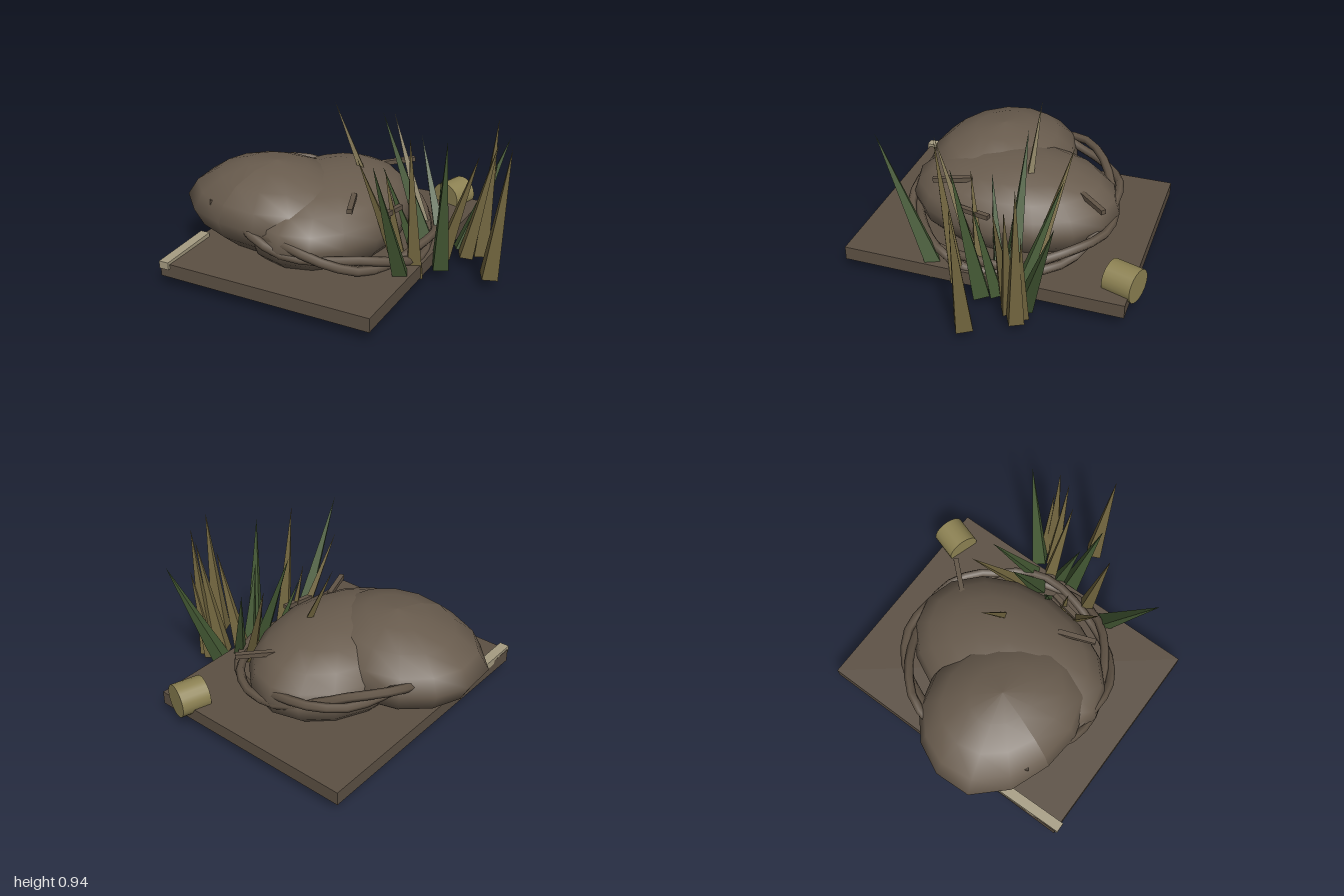
import * as THREE from 'three';

const mat = (name, color, flatShading = false) => {
  const m = new THREE.MeshStandardMaterial({ color, flatShading });
  m.name = name;
  return m;
};

export function createModel() {
  const rock = mat('rock brown', 0x695c4e);
  const earth = mat('earth brown', 0x5c5043);
  const root = mat('root brown', 0x615446);
  const green = mat('grass green', 0x435833, true);
  const dry = mat('dry grass', 0x72663f, true);
  const wood = mat('cut wood', 0x8d8253);
  const pale = mat('pale wood', 0xa69c82);

  const model = new THREE.Group();
  const add = (name, geo, material, x = 0, y = 0, z = 0, ry = 0) => {
    const mesh = new THREE.Mesh(geo, material);
    mesh.name = name;
    mesh.position.set(x, y, z);
    mesh.rotation.y = ry;
    model.add(mesh);
    return mesh;
  };
  const TURN = 0.306;

  // ground slab
  add('slab', new THREE.BoxGeometry(1.657, 0.083, 1.319), earth, 0.005, 0.107, -0.08, TURN);

  // low main boulder
  const main = new THREE.SphereGeometry(1, 16, 10);
  main.scale(0.64, 0.283, 0.46);
  add('mainBoulder', main, rock, 0, 0.285, -0.08, TURN);

  // upper boulder, swollen towards its back left corner
  const upper = new THREE.SphereGeometry(1, 14, 8);
  const p = upper.attributes.position;
  for (let i = 0; i < p.count; i++) {
    const d = Math.max(0, -0.68 * p.getX(i) - 0.73 * p.getZ(i));
    const k = 1 + 0.14 * d ** 6;
    p.setXYZ(i, p.getX(i) * k, p.getY(i), p.getZ(i) * k);
  }
  upper.scale(0.44, 0.265, 0.53);
  upper.computeVertexNormals();
  add('upperBoulder', upper, rock, -0.24, 0.35, -0.29);

  // two twisted roots circling the boulders, rising to the back
  for (let k = 0; k < 2; k++) {
    const pts = [];
    for (let i = 0; i < 18; i++) {
      const a = (i / 18) * Math.PI * 2;
      const twist = a * 4 + k * Math.PI;
      const r = 0.605 + 0.025 * Math.cos(twist);
      const x = Math.cos(a) * r;
      const z = -0.08 + Math.sin(a) * r;
      pts.push(new THREE.Vector3(x, 0.275 - 0.19 * z - 0.06 * x + 0.03 * Math.sin(twist), z));
    }
    const curve = new THREE.CatmullRomCurve3(pts, true);
    add('root' + (k + 1), new THREE.TubeGeometry(curve, 36, 0.027, 6, true), root);
  }

  // twigs stuck in the boulders: x, y, z, length, turn
  [
    [0.55, 0.455, -0.05, 0.24, -0.43],
    [-0.19, 0.5, 0.28, 0.23, 0.66],
    [0.03, 0.405, 0.37, 0.2, 0.1],
    [-0.61, 0.43, -0.44, 0.1, 0.9],
  ].forEach(([x, y, z, l, a]) => add('twig', new THREE.BoxGeometry(l, 0.028, 0.03), root, x, y, z, a));

  // log and pale plank
  const log = add('log', new THREE.CylinderGeometry(0.1, 0.1, 0.175, 20), wood, 0.895, 0.178, 0.142);
  log.rotation.z = Math.PI / 2;
  const plank = add('plank', new THREE.BoxGeometry(0.42, 0.045, 0.06), pale, -0.79, 0.147, -0.49, 0.33);
  plank.rotation.z = 0.02;

  // pointed grass blades: base x, z; tip x, y, z; base radius; colour
  const UP = new THREE.Vector3(0, 1, 0);
  [
    [-0.08, 0.57, -0.42, 0.89, 0.65, 0.065, green],
    [0.08, 0.40, -0.245, 0.81, 0.37, 0.05, dry],
    [0.05, 0.55, -0.06, 0.94, 0.58, 0.06, dry],
    [0.1, 0.40, 0.0, 0.67, 0.35, 0.045, dry],
    [0.22, 0.22, 0.12, 0.92, -0.17, 0.055, dry],
    [0.24, 0.58, 0.13, 0.88, 0.68, 0.065, green],
    [0.33, 0.42, 0.23, 0.89, 0.12, 0.065, green],
    [0.24, 0.40, 0.08, 0.64, 0.26, 0.045, green],
    [0.34, 0.855, 0.345, 0.86, 0.95, 0.065, dry],
    [0.36, 0.50, 0.41, 0.73, 0.69, 0.055, dry],
    [0.40, 0.36, 0.46, 0.81, 0.0, 0.055, dry],
    [0.41, 0.46, 0.51, 0.70, 0.18, 0.05, green],
    [0.45, 0.60, 0.52, 0.80, 0.74, 0.055, dry],
    [0.53, 0.65, 0.56, 0.92, 0.70, 0.06, dry],
    [0.54, 0.60, 0.59, 0.64, 0.69, 0.045, dry],
    [0.50, 0.53, 0.76, 0.74, 0.65, 0.06, green],
    [0.31, 0.53, 0.20, 0.62, 0.59, 0.05, green],
  ].forEach(([bx, bz, tx, ty, tz, r, material]) => {
    const base = new THREE.Vector3(bx, 0.06, bz);
    const dir = new THREE.Vector3(tx, ty, tz).sub(base);
    const len = dir.length();
    const blade = new THREE.ConeGeometry(r, len, 4);
    blade.translate(0, len / 2, 0);
    const mesh = add('grassBlade', blade, material, bx, 0.06, bz);
    mesh.quaternion.setFromUnitVectors(UP, dir.normalize());
  });

  return model;
}
